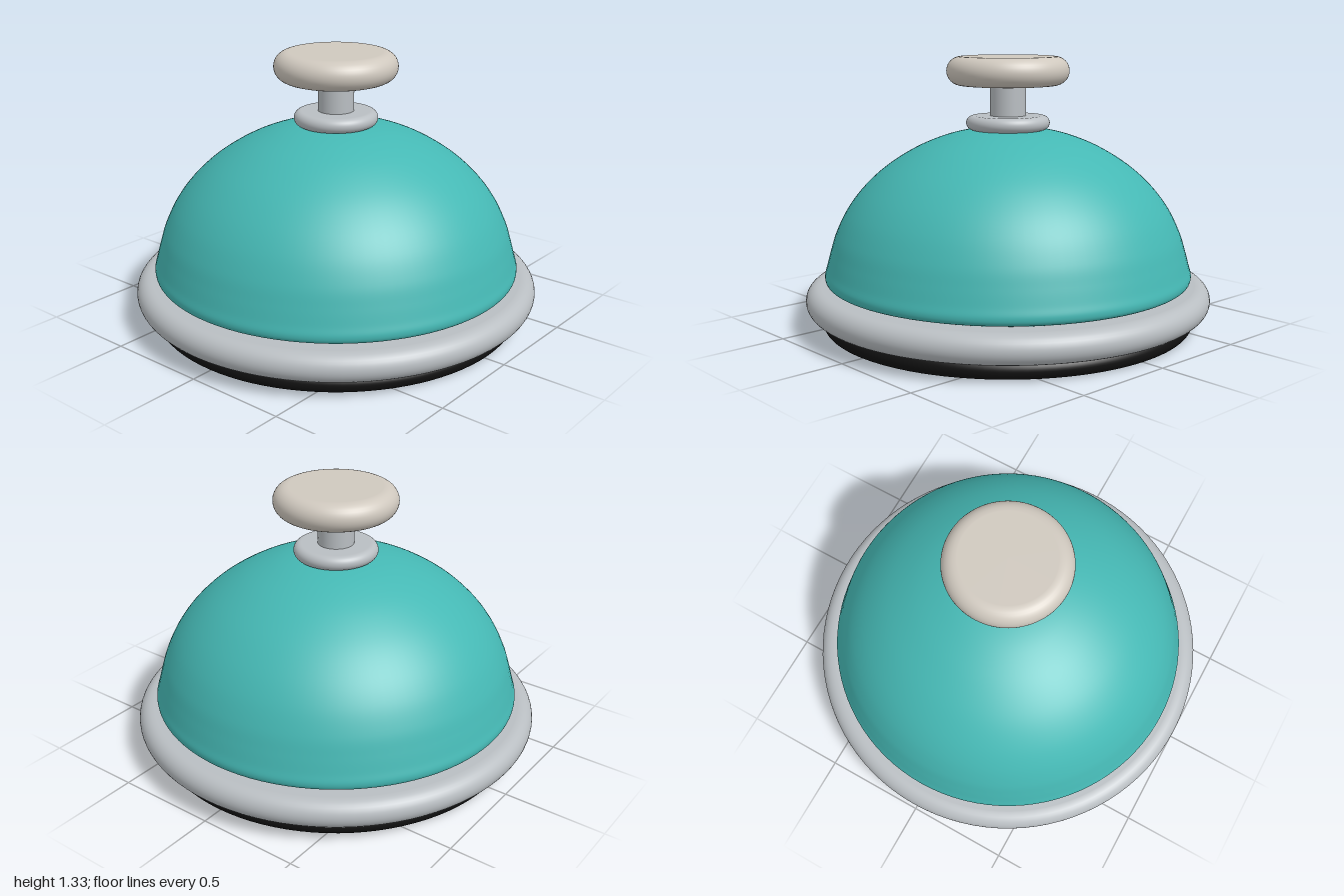
import * as THREE from 'three';

const mat = (name, color) => {
  const m = new THREE.MeshStandardMaterial({ color });
  m.name = name;
  return m;
};

// Solid of revolution from a bottom-to-top profile
function turned(name, points, material) {
  const mesh = new THREE.Mesh(new THREE.LatheGeometry(points, 96), material);
  mesh.name = name;
  return mesh;
}

// Disc between y0 and y1 with a rounded rim
function roundedDisc(name, radius, y0, y1, material) {
  const r = (y1 - y0) / 2, mid = (y0 + y1) / 2;
  const pts = [new THREE.Vector2(0, y0)];
  // extra ring keeps the flat face shading flat
  pts.push(new THREE.Vector2(radius - r - 0.005, y0));
  for (let i = 0; i <= 16; i++) {
    const a = -Math.PI / 2 + (Math.PI * i) / 16;
    pts.push(new THREE.Vector2(radius - r + r * Math.cos(a), mid + r * Math.sin(a)));
  }
  pts.push(new THREE.Vector2(radius - r - 0.005, y1), new THREE.Vector2(0, y1));
  return turned(name, pts, material);
}

export function createModel() {
  const teal = mat('teal enamel', 0x45b8b4);
  const silver = mat('silver metal', 0xb9bec2);
  const cream = mat('cream button', 0xcfc8be);
  const black = mat('black rubber', 0x111111);

  const model = new THREE.Group();
  model.name = 'deskBell';

  // Base
  model.add(roundedDisc('rubberFoot', 0.92, 0, 0.085, black));
  model.add(roundedDisc('baseRing', 1, 0.08, 0.22, silver));

  // Dome with a flared lip
  const curve = new THREE.SplineCurve([
    [0.86, 0.225], [0.896, 0.24], [0.905, 0.27], [0.893, 0.315], [0.874, 0.385],
    [0.845, 0.475], [0.79, 0.585], [0.71, 0.69], [0.6, 0.79], [0.46, 0.878],
    [0.32, 0.937], [0.2, 0.967], [0.1, 0.975], [0, 0.976],
  ].map(([x, y]) => new THREE.Vector2(x, y)));
  const domeProfile = curve.getPoints(78);
  domeProfile[domeProfile.length - 1].x = 0;
  domeProfile.unshift(new THREE.Vector2(0, 0.225), new THREE.Vector2(0.855, 0.225));
  model.add(turned('dome', domeProfile, teal));

  // Collar, stem and push button
  model.add(roundedDisc('collar', 0.205, 0.97, 1.04, silver));
  const stem = new THREE.Mesh(new THREE.CylinderGeometry(0.088, 0.088, 0.2, 48), silver);
  stem.name = 'stem';
  stem.position.y = 1.12;
  model.add(stem);
  model.add(roundedDisc('pushButton', 0.3, 1.188, 1.328, cream));

  return model;
}
